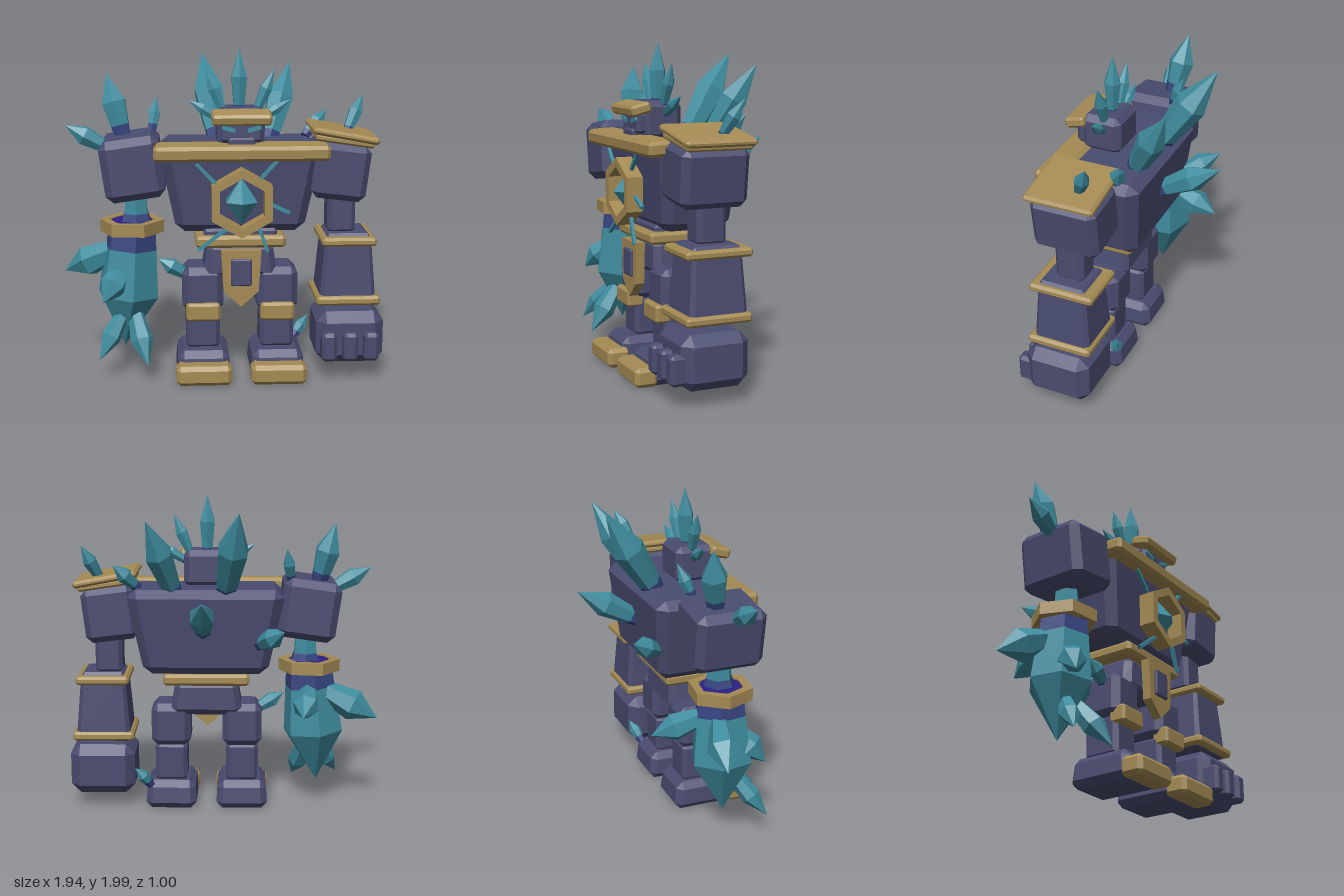
import * as THREE from 'three';
import { ConvexGeometry } from 'three/addons/geometries/ConvexGeometry.js';

const colour = (name, hex) => {
  const m = new THREE.MeshStandardMaterial({ color: hex });
  m.name = name;
  return m;
};

export function createModel() {
  const model = new THREE.Group();
  model.name = 'crystalGolem';
  const stone = colour('stone', 0x4a4c70);
  const gold = colour('gold', 0xa58b54);
  const teal = colour('crystal', 0x3e8c9e);
  const root = colour('crystalRoot', 0x36447f);
  const indigo = colour('indigo', 0x2b1d85);

  const add = (name, geometry, material, parent = model) => {
    const mesh = new THREE.Mesh(geometry, material);
    mesh.name = name;
    parent.add(mesh);
    return mesh;
  };

  // Chamfered block; top = [x, z] scale of the upper end for tapered parts
  const block = (name, mat, pos, [w, h, d], { b = 0.03, top = [1, 1], rx = 0, rz = 0 } = {}) => {
    const pts = [];
    for (const sx of [-1, 1]) for (const sy of [-1, 1]) for (const sz of [-1, 1]) {
      for (const [bx, by, bz] of [[b, b, 0], [b, 0, b], [0, b, b]]) {
        const y = sy * (h / 2 - by), t = y / h + 0.5;
        pts.push(new THREE.Vector3(
          sx * (w / 2 - bx) * (1 + (top[0] - 1) * t), y,
          sz * (d / 2 - bz) * (1 + (top[1] - 1) * t)));
      }
    }
    const mesh = add(name, new ConvexGeometry(pts), mat);
    mesh.position.set(...pos);
    mesh.rotation.set(rx, 0, rz);
    return mesh;
  };

  // Faceted six-sided turned shape
  const facet = (profile) => {
    const g = new THREE.LatheGeometry(profile.map(([r, y]) => new THREE.Vector2(r, y)), 6).toNonIndexed();
    g.computeVertexNormals();
    return g;
  };

  // Pointed crystal from base to tip, with a darker root
  const crystal = (name, from, to, r, { rootPart = 0.16, wide = 0.58, base = 0.6 } = {}) => {
    const a = new THREE.Vector3(...from), dir = new THREE.Vector3(...to).sub(a), len = dir.length();
    const group = new THREE.Group();
    group.name = name;
    const rr = r * (base + (1 - base) * rootPart / wide);
    add('crystalRoot', facet([[0, 0], [r * base, 0], [rr, len * rootPart]]), root, group);
    add('crystalBody', facet([[rr, len * rootPart], [r, len * wide], [0, len]]), teal, group);
    group.position.copy(a);
    group.quaternion.setFromUnitVectors(new THREE.Vector3(0, 1, 0), dir.normalize());
    model.add(group);
  };

  // Torso and collar
  block('torso', stone, [0.105, 1.175, 0.1], [0.76, 0.53, 0.42], { b: 0.05, top: [1.29, 1.27] });
  block('collar', gold, [0.105, 1.41, 0.37], [1.03, 0.09, 0.18], { b: 0.02, rx: 0.06 });

  // Head
  block('head', stone, [0.105, 1.54, 0.215], [0.28, 0.23, 0.25], { b: 0.035 });
  block('face', stone, [0.105, 1.525, 0.31], [0.25, 0.13, 0.13], { b: 0.02 });
  block('jaw', stone, [0.105, 1.467, 0.34], [0.16, 0.05, 0.1], { b: 0.012 });
  block('brow', gold, [0.105, 1.61, 0.365], [0.35, 0.065, 0.125], { b: 0.015, rx: 0.25 });
  for (const s of [-1, 1]) {
    const eye = add('eye', new THREE.BoxGeometry(0.08, 0.025, 0.009), teal);
    eye.position.set(0.105 + s * 0.075, 1.543, 0.379);
    eye.rotation.z = s * 0.3;
    crystal('crownMiddleCrystal', [0.105 + s * 0.09, 1.6, 0.2], [0.105 + s * 0.205, 1.875, 0.19], 0.04);
    crystal('crownSideCrystal', [0.105 + s * 0.11, 1.57, 0.2], [0.105 + s * 0.305, 1.69, 0.18], 0.035);
  }
  crystal('crownCentreCrystal', [0.1, 1.6, 0.2], [0.1, 1.995, 0.19], 0.052);

  // Chest emblem: ring, gem and veins
  const ring = add('chestRing', facet([[0.15, 0], [0.205, 0], [0.205, 0.1], [0.15, 0.1], [0.15, 0]]), gold);
  ring.position.set(0.105, 1.115, 0.365);
  ring.rotation.x = Math.PI / 2;
  add('chestGem', facet([[0, -0.14], [0.105, 0], [0, 0.14]]), teal).position.set(0.105, 1.115, 0.375);
  for (const [x1, y1, x2, y2] of [[-0.16, 1.345, -0.04, 1.22], [0.32, 1.37, 0.21, 1.25],
    [-0.15, 0.83, 0.02, 0.96], [0.26, 0.815, 0.2, 0.98], [0.27, 1.105, 0.385, 1.05]]) {
    const vein = add('chestVein', new THREE.BoxGeometry(Math.hypot(x2 - x1, y2 - y1), 0.02, 0.02), teal);
    vein.position.set((x1 + x2) / 2, (y1 + y2) / 2, 0.41);
    vein.rotation.z = Math.atan2(y2 - y1, x2 - x1);
  }

  // Back crystals
  crystal('backCrystal', [-0.01, 1.38, -0.03], [-0.1, 1.925, -0.385], 0.1);
  crystal('backCrystal', [0.29, 1.38, -0.02], [0.45, 1.87, -0.29], 0.088);
  crystal('backCrystal', [0.12, 1.18, -0.1], [0.12, 1.41, -0.5], 0.08);
  crystal('backCrystal', [-0.22, 1.1, -0.1], [-0.37, 1.22, -0.32], 0.065);

  // Waist and loincloth
  block('waist', stone, [0.105, 0.88, 0.155], [0.44, 0.1, 0.3], { b: 0.015 });
  block('belt', gold, [0.105, 0.858, 0.16], [0.54, 0.072, 0.38], { b: 0.018 });
  block('pelvis', stone, [0.105, 0.73, 0.16], [0.46, 0.22, 0.29], { b: 0.04, top: [0.85, 0.95] });
  const cloth = new THREE.Shape([[-0.12, 0.815], [0.12, 0.815], [0.105, 0.565], [0, 0.47], [-0.105, 0.565]]
    .map(([x, y]) => new THREE.Vector2(x, y)));
  add('loincloth', new THREE.ExtrudeGeometry(cloth, { depth: 0.055, bevelEnabled: false }), gold)
    .position.set(0.105, 0, 0.33);
  block('loinclothPanel', stone, [0.105, 0.683, 0.385], [0.125, 0.165, 0.03], { b: 0.008 });

  // Legs
  for (const s of [-1, 1]) {
    const x = 0.105 + s * 0.225;
    block('thigh', stone, [x, 0.55, 0.17], [0.25, 0.27, 0.28], { b: 0.04 });
    block('kneeGuard', gold, [x, 0.42, 0.29], [0.205, 0.11, 0.11], { b: 0.015 });
    block('shin', stone, [x, 0.3, 0.175], [0.205, 0.25, 0.23], { b: 0.025 });
    block('foot', stone, [x, 0.097, 0.2], [0.33, 0.18, 0.42], { b: 0.04, top: [0.92, 0.9] });
    block('toeCap', gold, [x, 0.068, 0.425], [0.335, 0.12, 0.145], { b: 0.025 });
  }
  crystal('thighCrystal', [-0.21, 0.62, 0.2], [-0.39, 0.73, 0.22], 0.05);
  crystal('footCrystal', [0.45, 0.15, 0.04], [0.555, 0.285, -0.02], 0.04, { rootPart: 0.3 });

  // Left arm: shoulder, armoured forearm and fist
  block('leftShoulder', stone, [0.7, 1.275, 0.16], [0.33, 0.34, 0.41], { b: 0.04, rz: -0.12 });
  block('pauldron', gold, [0.725, 1.492, 0.155], [0.4, 0.042, 0.43], { b: 0.015, rz: -0.18 });
  block('pauldronBase', gold, [0.72, 1.46, 0.155], [0.35, 0.04, 0.4], { b: 0.012, rz: -0.15 });
  crystal('pauldronCrystal', [0.76, 1.47, 0.1], [0.87, 1.695, 0], 0.045);
  crystal('pauldronCrystal', [0.52, 1.44, -0.01], [0.665, 1.59, -0.11], 0.05);
  block('leftElbow', stone, [0.72, 1.01, 0.16], [0.17, 0.26, 0.18], { b: 0.025 });
  block('leftForearm', stone, [0.755, 0.675, 0.17], [0.345, 0.44, 0.36], { b: 0.025, top: [0.79, 0.83] });
  block('upperForearmBand', gold, [0.755, 0.852, 0.165], [0.33, 0.052, 0.405], { b: 0.015 });
  block('lowerForearmBand', gold, [0.755, 0.49, 0.178], [0.385, 0.055, 0.4], { b: 0.015 });
  block('fist', stone, [0.768, 0.26, 0.2], [0.41, 0.32, 0.41], { b: 0.06 });
  for (const x of [0.633, 0.763, 0.888]) {
    block('finger', stone, [x, 0.225, 0.405], [0.09, 0.175, 0.125], { b: 0.02 });
  }

  // Right arm: shoulder, ringed stem and crystal forearm
  block('rightShoulder', stone, [-0.535, 1.3, 0.155], [0.36, 0.37, 0.43], { b: 0.045, rz: 0.14 });
  crystal('shoulderCrystal', [-0.585, 1.43, 0.1], [-0.69, 1.835, 0.03], 0.08, { rootPart: 0.24 });
  crystal('shoulderCrystal', [-0.67, 1.4, 0.18], [-0.93, 1.545, 0.19], 0.06);
  crystal('shoulderCrystal', [-0.425, 1.45, 0.04], [-0.39, 1.685, -0.06], 0.04, { rootPart: 0.3 });
  add('rightStem', facet([[0, 0], [0.085, 0], [0.065, 0.25]]), teal).position.set(-0.52, 0.94, 0.155);
  add('stemRoot', facet([[0, 0], [0.1, 0], [0.082, 0.05], [0, 0.05]]), root).position.set(-0.52, 0.955, 0.155);
  add('wristCore', facet([[0, 0], [0.15, 0], [0.14, 0.07], [0, 0.07]]), indigo).position.set(-0.545, 0.89, 0.155);
  const wrist = add('wristRing', facet([[0.14, 0], [0.195, 0], [0.195, 0.075], [0.14, 0.075], [0.14, 0]]), gold);
  wrist.position.set(-0.545, 0.89, 0.155);
  wrist.rotation.y = 0.4;
  crystal('forearmCrystal', [-0.545, 0.9, 0.155], [-0.6, 0.165, 0.16], 0.195, { rootPart: 0.15, base: 0.78, wide: 0.55 });
  const spike = { rootPart: 0.08 };
  crystal('forearmSpike', [-0.62, 0.78, 0.12], [-0.97, 0.61, 0.02], 0.1, spike);
  crystal('forearmSpike', [-0.54, 0.78, 0.06], [-0.49, 0.68, -0.26], 0.085, spike);
  crystal('forearmSpike', [-0.58, 0.7, 0.2], [-0.72, 0.5, 0.38], 0.085, spike);
  crystal('forearmSpike', [-0.59, 0.42, 0.2], [-0.745, 0.15, 0.39], 0.06, spike);
  crystal('forearmSpike', [-0.54, 0.42, 0.2], [-0.455, 0.12, 0.43], 0.07, spike);
  return model;
}
